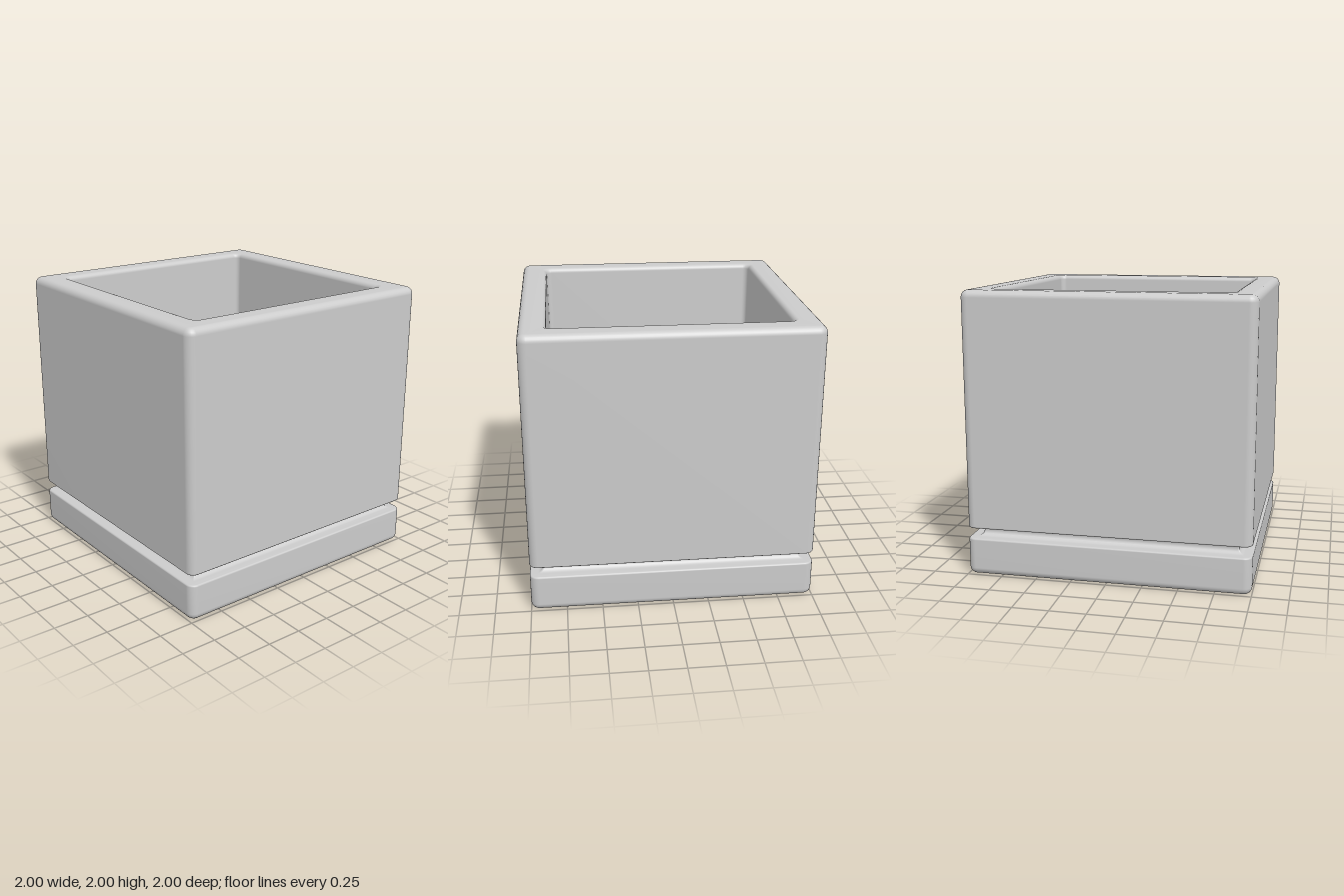
import * as THREE from 'three';

const CORNER_STEPS = 6;

// Rounded-square outline at height y: half width h, corner radius r
function ring([h, y, r]) {
  const points = [];
  const c = h - r;
  for (let q = 0; q < 4; q++) {
    const mid = (q + 0.5) * Math.PI / 2;
    for (let s = 0; s <= CORNER_STEPS; s++) {
      const a = (q + s / CORNER_STEPS) * Math.PI / 2;
      points.push([
        Math.sign(Math.cos(mid)) * c + r * Math.cos(a), y,
        Math.sign(Math.sin(mid)) * c + r * Math.sin(a),
      ]);
    }
  }
  return points;
}

// Closed skin through a stack of rings; the first and last shrink to a point
function loft(profile) {
  const rings = profile.map(ring);
  const n = rings[0].length;
  const index = [];
  for (let i = 0; i < rings.length - 1; i++) {
    for (let j = 0; j < n; j++) {
      const k = (j + 1) % n;
      const a = i * n + j, b = i * n + k, c = b + n, d = a + n;
      if (i < rings.length - 2) index.push(a, d, c);
      if (i > 0) index.push(a, c, b);
    }
  }
  const g = new THREE.BufferGeometry();
  g.setAttribute('position', new THREE.Float32BufferAttribute(rings.flat(2), 3));
  g.setIndex(index);
  g.computeVertexNormals();
  return g;
}

export function createModel() {
  const group = new THREE.Group();
  const material = new THREE.MeshStandardMaterial({ color: 0xcccccc });
  const profile = [];

  const outer = (h, y) => profile.push([h, y, Math.max(0.01, h - 0.94)]);
  const inner = (h, y) => profile.push([h, y, Math.max(0.005, h - 0.775)]);
  // Arc in the wall section, angles in degrees
  const arc = (add, cx, cy, r, from, to, steps = 6) => {
    for (let s = 0; s <= steps; s++) {
      const a = THREE.MathUtils.degToRad(from + (to - from) * s / steps);
      add(cx + r * Math.cos(a), cy + r * Math.sin(a));
    }
  };

  // Underside and base band
  profile.push([0, 0, 0]);
  arc(outer, 0.95, 0.05, 0.05, -90, 0);
  arc(outer, 0.988, 0.253, 0.012, 0, 90, 3);
  // Round-bottomed groove
  arc(outer, 0.942, 0.302, 0.037, 270, 90, 10);
  // Body wall and rim
  arc(outer, 0.988, 0.351, 0.012, -90, 0, 3);
  arc(outer, 0.95, 1.95, 0.05, 0, 90);
  arc(inner, 0.85, 1.965, 0.035, 90, 180);
  // Slightly tapered cavity down to its floor
  arc(inner, 0.77, 0.48, 0.03, 0, -90, 4);
  profile.push([0, 0.45, 0]);

  const pot = new THREE.Mesh(loft(profile), material);
  pot.name = 'squarePlanter';
  group.add(pot);
  return group;
}
